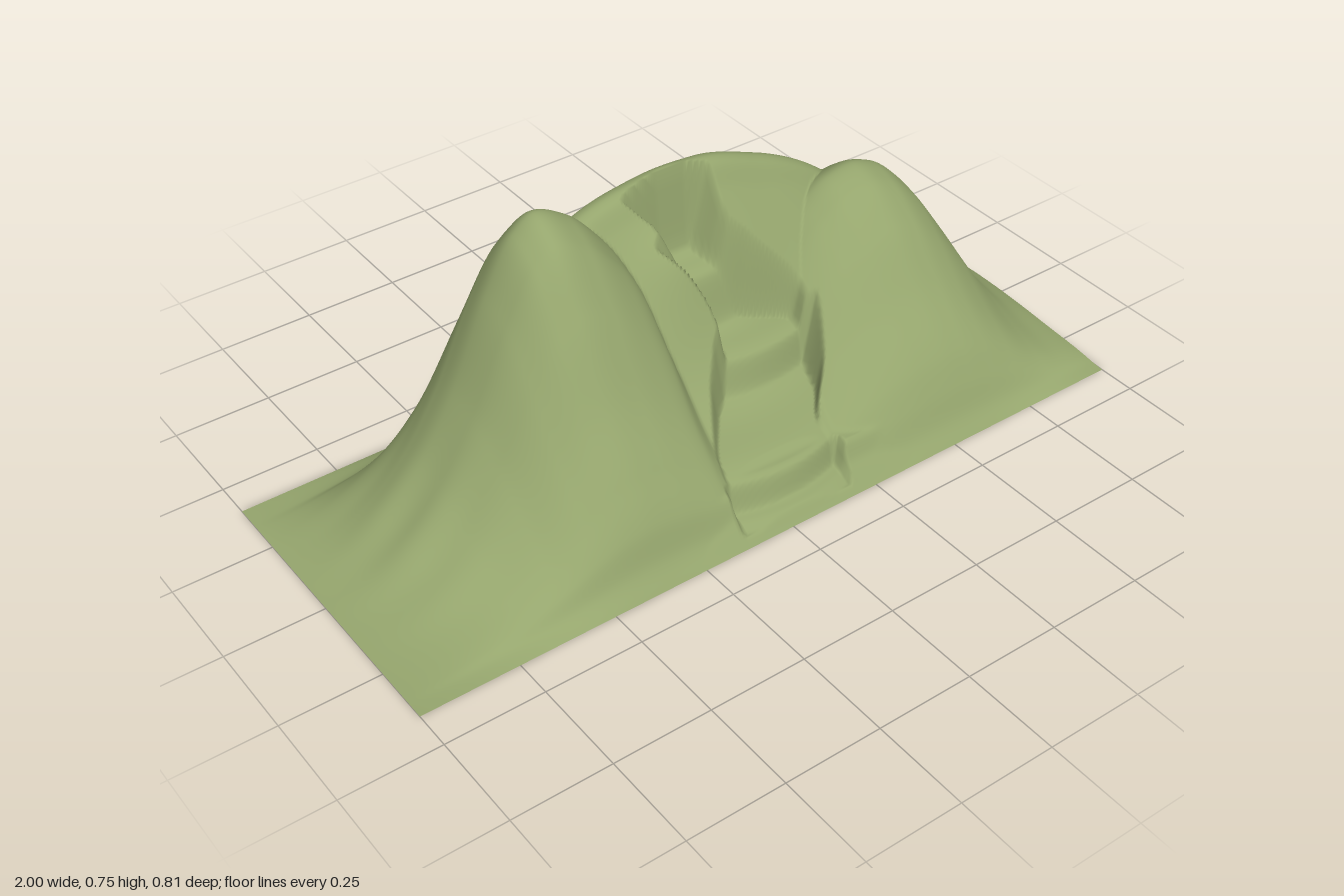
import * as THREE from 'three';

// Smooth monotone curve through [position, value] points
function curve(points) {
  const n = points.length;
  const slope = i => (points[i + 1][1] - points[i][1]) / (points[i + 1][0] - points[i][0]);
  const tangent = i => {
    if (i === 0) return slope(0);
    if (i === n - 1) return slope(n - 2);
    const a = slope(i - 1), b = slope(i);
    return a * b <= 0 ? 0 : (2 * a * b) / (a + b);
  };
  return t => {
    if (t <= points[0][0]) return points[0][1];
    if (t >= points[n - 1][0]) return points[n - 1][1];
    let i = 0;
    while (t > points[i + 1][0]) i++;
    const w = points[i + 1][0] - points[i][0], s = (t - points[i][0]) / w;
    const s2 = s * s, s3 = s2 * s;
    return points[i][1] * (2 * s3 - 3 * s2 + 1) + points[i + 1][1] * (3 * s2 - 2 * s3)
      + w * (tangent(i) * (s3 - 2 * s2 + s) + tangent(i + 1) * (s3 - s2));
  };
}

// Tall hill, low hill and the ridge between them: height along x, falloff along z
const tallX = curve([[-1, 0], [-0.9, 0.035], [-0.8, 0.1], [-0.7, 0.2], [-0.6, 0.36], [-0.5, 0.58], [-0.42, 0.715],
  [-0.36, 0.753], [-0.28, 0.715], [-0.2, 0.63], [-0.15, 0.55], [-0.11, 0.42], [-0.04, 0.24], [0.05, 0.1], [0.2, 0]]);
const tallZ = curve([[-0.4, 0], [-0.343, 0.11], [-0.317, 0.27], [-0.29, 0.42], [-0.25, 0.615], [-0.2, 0.79],
  [-0.15, 0.92], [-0.08, 1], [0, 0.95], [0.1, 0.76], [0.2, 0.5], [0.28, 0.325], [0.34, 0.18], [0.365, 0.075], [0.4, 0]]);
const lowX = curve([[-0.05, 0], [0.05, 0.12], [0.15, 0.25], [0.28, 0.41], [0.38, 0.5], [0.46, 0.545], [0.53, 0.557],
  [0.6, 0.535], [0.67, 0.475], [0.75, 0.36], [0.85, 0.19], [0.92, 0.1], [1, 0.035]]);
const lowZ = curve([[-0.4, 0], [-0.35, 0.14], [-0.3, 0.4], [-0.2, 0.77], [-0.13, 0.93], [-0.06, 1], [0, 0.97],
  [0.1, 0.82], [0.2, 0.58], [0.3, 0.35], [0.34, 0.21], [0.37, 0.08], [0.4, 0]]);
const ridgeX = curve([[-0.7, 0], [-0.4, 0.5], [-0.2, 0.655], [-0.1, 0.68], [0.02, 0.692], [0.13, 0.685], [0.3, 0.63],
  [0.45, 0.55], [0.65, 0.36], [0.9, 0]]);
const ridgeZ = curve([[-0.4, 0], [-0.343, 0.13], [-0.317, 0.3], [-0.29, 0.48], [-0.25, 0.685], [-0.2, 0.86],
  [-0.158, 0.99], [-0.135, 1], [-0.115, 0.99], [-0.08, 0.905], [-0.03, 0.79], [0.06, 0.58], [0.15, 0.38],
  [0.25, 0.23], [0.35, 0.1], [0.4, 0]]);

// Low apron along the front foot
const apronX = curve([[-0.7, 0], [-0.35, 0.12], [0, 0.13], [0.4, 0.11], [0.8, 0]]);
const apronZ = curve([[0.1, 1], [0.33, 0.9], [0.355, 0.5], [0.375, 0.25], [0.4, 0]]);

// Stepped cut: floor height, both floor edges and bank steepness along z
const frontGully = {
  floor: curve([[-0.135, 0.69], [-0.112, 0.47], [-0.04, 0.43], [0, 0.3], [0.1, 0.265], [0.125, 0.18],
    [0.33, 0.11], [0.348, 0.045], [0.375, 0.035], [0.4, 0.02]]),
  low: curve([[-0.12, 0], [0, 0.03], [0.07, 0.045], [0.15, -0.03], [0.27, -0.11], [0.4, -0.13]]),
  high: curve([[-0.12, 0.08], [-0.03, 0.12], [0.06, 0.26], [0.17, 0.24], [0.27, 0.18], [0.4, 0.19]]),
  lowBank: curve([[-0.12, 1.7], [0, 3.2], [0.07, 5], [0.4, 5]]),
  highBank: () => 4
};
const backGully = {
  floor: curve([[-0.4, 0], [-0.34, 0.07], [-0.317, 0.18], [-0.3, 0.31], [-0.27, 0.39], [-0.215, 0.46],
    [-0.185, 0.6], [-0.165, 0.685]]),
  low: curve([[-0.4, -0.14], [-0.31, -0.13], [-0.26, -0.09], [-0.165, -0.09]]),
  high: curve([[-0.4, 0.27], [-0.31, 0.25], [-0.26, 0.1], [-0.165, 0.08]]),
  lowBank: () => 4,
  highBank: () => 2.5
};

function carve(h, gully, x, z, bowZ) {
  const a = gully.low(z), b = gully.high(z);
  const bank = Math.max((a - x) * gully.lowBank(z), (x - b) * gully.highBank(z), 0);
  const bow = Math.min((x - (a + b) / 2) ** 2, 0.03) * (z > bowZ ? 1.2 : 0);
  return Math.min(h, gully.floor(z + bow) + bank);
}

const bump = (x, z, cx, cz, rx, rz) => Math.exp(-(((x - cx) / rx) ** 2) - ((z - cz) / rz) ** 2);

// Maximum with a rounded joint that vanishes at ground level
function softMax(a, b) {
  const top = Math.max(a, b), r = 0.06 * top + 1e-6;
  const k = Math.max(r - Math.abs(a - b), 0) / r;
  return top + k * k * r * 0.25;
}

function height(x, z) {
  const hills = softMax(tallX(x) * tallZ(z), lowX(x) * lowZ(z));
  // Ridge with the higher bank left standing beside the gully
  const ridge = ridgeX(x) * ridgeZ(z) + 0.06 * bump(x, z, -0.04, 0.01, 0.09, 0.06);
  let h = softMax(Math.max(hills, ridge), z > 0 ? apronX(x) * apronZ(z) : 0);
  // Faint folds at the outer foot
  h += 0.006 * Math.sin(z * 42) * bump(x, z, -0.75, 0, 0.12, 0.2);
  if (z > -0.14) h = carve(h, frontGully, x, z, -0.06);
  if (z < -0.165) h = carve(h, backGully, x, z, 0);
  return Math.max(h, 0);
}

export function createModel() {
  const group = new THREE.Group();
  const grass = new THREE.MeshStandardMaterial({ color: 0x95a56d });
  grass.name = 'grass green';
  const add = (geometry, name) => {
    const mesh = new THREE.Mesh(geometry, grass);
    mesh.name = name;
    group.add(mesh);
  };

  // Hills, ridge and gullies as one height field
  const land = new THREE.PlaneGeometry(2, 0.806, 280, 160).rotateX(-Math.PI / 2);
  const p = land.attributes.position;
  for (let i = 0; i < p.count; i++) {
    p.setY(i, height(p.getX(i), p.getZ(i) * 0.4 / 0.403));
  }
  land.computeVertexNormals();
  add(land, 'hillside');

  // Flat underside
  add(new THREE.PlaneGeometry(2, 0.806).rotateX(Math.PI / 2), 'underside');

  // Low cut face closing the +x end
  const cut = new THREE.PlaneGeometry(0.806, 1, 160, 1).rotateY(Math.PI / 2).translate(1, 0.5, 0);
  const c = cut.attributes.position;
  for (let i = 0; i < c.count; i++) {
    c.setY(i, c.getY(i) > 0.5 ? height(1, c.getZ(i) * 0.4 / 0.403) : 0);
  }
  add(cut, 'endFace');

  return group;
}
